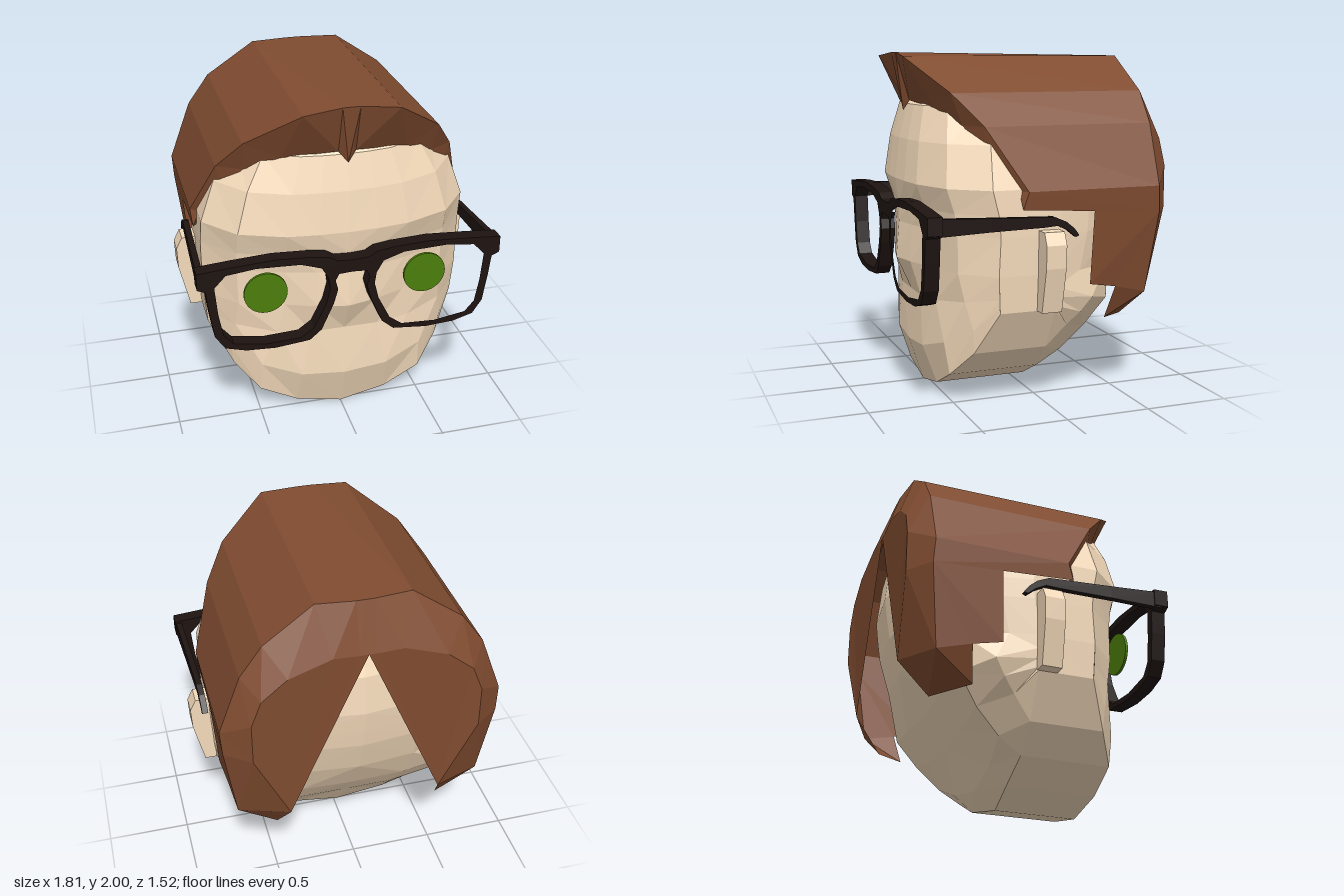
import * as THREE from 'three';

const material = (color, side = THREE.FrontSide) =>
  new THREE.MeshStandardMaterial({ color, side, flatShading: true });

const skin = material(0xf6dcbc);
const hairBrown = material(0x804c30, THREE.DoubleSide);
const frameBlack = material(0x1e1411);
const eyeGreen = material(0x4c7e0c);

// Faces of the +x half are given; the -x half is mirrored with reversed corners.
function mirroredMesh(name, faces, mat) {
  const positions = [];
  for (const face of faces) {
    for (let i = 1; i < face.length - 1; i++) {
      const tri = [face[0], face[i], face[i + 1]];
      tri.forEach((p) => positions.push(...p));
      tri.reverse().forEach(([x, y, z]) => positions.push(-x, y, z));
    }
  }
  const geometry = new THREE.BufferGeometry();
  geometry.setAttribute('position', new THREE.Float32BufferAttribute(positions, 3));
  geometry.computeVertexNormals();
  const mesh = new THREE.Mesh(geometry, mat);
  mesh.name = name;
  return mesh;
}

// Quads between consecutive rows of points.
function gridFaces(rows) {
  const faces = [];
  for (let r = 0; r < rows.length - 1; r++) {
    for (let c = 0; c < rows[r].length - 1; c++) {
      faces.push([rows[r][c], rows[r][c + 1], rows[r + 1][c + 1], rows[r + 1][c]]);
    }
  }
  return faces;
}

const toShape = (points) => new THREE.Shape(points.map(([x, y]) => new THREE.Vector2(x, y)));

// Head: rings lofted from nose to crown, with an arched jaw, chin and nape below.
function makeHead() {
  // height, half width, front z, back z, nose offset at the middle
  const rings = [
    [0.78, 0.785, 0.61, -0.59, 0.08], [1.0, 0.79, 0.62, -0.66, 0.05], [1.12, 0.79, 0.64, -0.68, 0.03],
    [1.26, 0.785, 0.69, -0.7, 0], [1.5, 0.7, 0.66, -0.68, 0], [1.7, 0.57, 0.61, -0.6, 0],
    [1.85, 0.35, 0.42, -0.45, 0], [1.92, 0, 0.2, -0.2, 0],
  ];
  // width fraction, position from back (0) to front (1)
  const section = [[0, 1], [0.22, 0.995], [0.45, 0.98], [0.78, 0.91], [1, 0.76],
    [1, 0.48], [0.95, 0.34], [0.8, 0.15], [0.45, 0.03], [0, 0]];
  const noseShare = [1, 0.6];
  const upper = rings.map(([y, w, front, back, nose]) => section.map(([fx, t], i) =>
    [w * fx, y, back + (front - back) * t + nose * (noseShare[i] ?? 0)]));

  // Arches from the middle outward: chin edge, mouth, nose base
  const chin = [[0, 0, 0.53], [0.28, 0.06, 0.53], [0.5, 0.17, 0.52], [0.64, 0.32, 0.42], [0.77, 0.57, 0.31]];
  const mouth = [[0, 0.27, 0.62], [0.26, 0.29, 0.61], [0.49, 0.36, 0.55], [0.66, 0.46, 0.43], [0.772, 0.6, 0.312]];
  const noseBase = [[0, 0.58, 0.6], [0.2, 0.58, 0.6], [0.4, 0.59, 0.57], [0.63, 0.62, 0.47], [0.776, 0.65, 0.315]];

  // Arches from the side inward: throat, then up the nape
  const throat = [[0.77, 0.57, -0.02], [0.64, 0.32, -0.02], [0.5, 0.17, -0.02], [0.28, 0.06, -0.02], [0, 0, 0.02]];
  const nape = [
    throat,
    [[0.771, 0.59, -0.02], [0.68, 0.45, -0.13], [0.52, 0.26, -0.16], [0.3, 0.16, -0.13], [0, 0.1, -0.11]],
    [[0.775, 0.64, -0.02], [0.72, 0.53, -0.2], [0.55, 0.4, -0.3], [0.3, 0.35, -0.3], [0, 0.34, -0.29]],
    [[0.78, 0.7, -0.02], [0.75, 0.62, -0.26], [0.6, 0.57, -0.42], [0.33, 0.54, -0.44], [0, 0.52, -0.43]],
    upper[0].slice(5),
  ];
  const faces = [
    ...gridFaces(upper),
    ...gridFaces([chin, mouth, noseBase, upper[0].slice(0, 5)]),
    ...gridFaces(nape),
    ...gridFaces([[...throat].reverse(), chin]),
    [chin[4], throat[0], upper[0][5], upper[0][4]],
  ];
  return mirroredMesh('head', faces, skin);
}

// Hair: hairline, front brim, roof and rear slope, then two lobes down the back.
function makeHair() {
  const hairline = [[0, 1.66, 0.635], [0.05, 1.72, 0.61], [0.36, 1.69, 0.55], [0.55, 1.6, 0.45],
    [0.66, 1.47, 0.36], [0.77, 1.25, 0.2], [0.78, 1.16, 0.17]];
  const brim = [[0, 2, 0.69], [0.05, 2, 0.69], [0.27, 1.98, 0.71], [0.56, 1.78, 0.52],
    [0.69, 1.6, 0.37], [0.82, 1.25, 0.16], [0.81, 1.15, 0.19]];
  const crease = [[0, 1.98, -0.645], [0.05, 1.98, -0.645], [0.27, 1.98, -0.62], [0.56, 1.78, -0.64],
    [0.69, 1.6, -0.64], [0.82, 1.25, -0.64], [0.81, 1.1, -0.65]];
  const rear = [[0, 1.69, -0.735], [0.05, 1.69, -0.735], [0.2, 1.7, -0.74], [0.45, 1.62, -0.75],
    [0.6, 1.5, -0.755], [0.66, 1.35, -0.76], [0.66, 1.1, -0.76]];
  const faces = gridFaces([hairline, brim, crease, rear]);

  // Back lobe, leaving a V-shaped notch at the nape
  const notch = [0.45, 0.65, -0.73];
  const tip = [0.5, 0.44, -0.56];
  const corner = [0.74, 0.62, -0.6];
  const sideTop = [0.81, 1.125, -0.24];
  const sideLow = [0.78, 0.7, -0.23];
  const sideMid = [0.76, 0.67, -0.4];
  const lowFront = [0.68, 0.47, -0.37];
  const creaseEnd = crease[6];
  const rearEnd = rear[6];
  for (let i = 0; i < rear.length - 1; i++) faces.push([rear[i], rear[i + 1], notch]);
  faces.push(
    [rearEnd, creaseEnd, corner], [rearEnd, corner, notch], [notch, corner, tip],
    [creaseEnd, sideTop, sideLow, sideMid, corner],
    [corner, sideMid, lowFront], [corner, lowFront, tip],
  );
  return mirroredMesh('hair', faces, hairBrown);
}

// Ear: thin vertical slab
function makeEar(s) {
  const outline = [[0.77, 0.57], [0.84, 0.57], [0.9, 0.83], [0.905, 0.96], [0.87, 1.03], [0.77, 1.03]];
  const geometry = new THREE.ExtrudeGeometry(toShape(outline.map(([x, y]) => [s * x, y])),
    { depth: 0.12, bevelEnabled: false });
  geometry.translate(0, 0, -0.03);
  const ear = new THREE.Mesh(geometry, skin);
  ear.name = s > 0 ? 'leftEar' : 'rightEar';
  return ear;
}

// Eye: flat disc
function makeEye(s) {
  const geometry = new THREE.CylinderGeometry(0.127, 0.127, 0.016, 32).rotateX(Math.PI / 2);
  const eye = new THREE.Mesh(geometry, eyeGreen);
  eye.position.set(s * 0.475, 0.9, 0.624);
  eye.name = s > 0 ? 'leftEye' : 'rightEye';
  return eye;
}

// Rims and bridge cut from one plate
function makeRims() {
  const half = [[0, 1.12], [0.09, 1.125], [0.14, 1.155], [0.25, 1.17], [0.45, 1.18], [0.7, 1.165],
    [0.88, 1.15], [0.88, 1.05], [0.835, 1.03], [0.82, 0.9], [0.795, 0.74], [0.74, 0.655],
    [0.62, 0.62], [0.45, 0.61], [0.25, 0.63], [0.18, 0.69], [0.11, 0.85], [0.085, 0.94],
    [0.1, 1.0], [0.08, 1.04], [0, 1.045]];
  const hole = [[0.14, 1.02], [0.18, 1.09], [0.3, 1.13], [0.55, 1.14], [0.72, 1.12], [0.785, 1.05],
    [0.77, 0.88], [0.745, 0.74], [0.69, 0.675], [0.5, 0.645], [0.3, 0.655], [0.225, 0.71],
    [0.155, 0.85], [0.13, 0.95]];
  const other = half.slice(1, -1).reverse().map(([x, y]) => [-x, y]);
  const shape = toShape([...half, ...other]);
  for (const s of [1, -1]) shape.holes.push(toShape(hole.map(([x, y]) => [s * x, y])));
  const geometry = new THREE.ExtrudeGeometry(shape, { depth: 0.085, bevelEnabled: false });
  geometry.translate(0, 0, 0.672);
  const rims = new THREE.Mesh(geometry, frameBlack);
  rims.name = 'rims';
  return rims;
}

// Temple: side outline drawn along z, leaning inward toward the ear
function makeTemple(s) {
  const outline = [[0.72, 1.04], [0.72, 1.14], [0.4, 1.125], [0.02, 1.11], [-0.05, 1.08], [-0.1, 1.04],
    [-0.13, 1.0], [-0.11, 0.99], [-0.06, 1.03], [0, 1.06], [0.08, 1.055], [0.4, 1.05]];
  const geometry = new THREE.ExtrudeGeometry(toShape(outline), { depth: 0.036, bevelEnabled: false });
  geometry.translate(0, 0, -0.018).rotateY(-Math.PI / 2);
  const p = geometry.attributes.position;
  for (let i = 0; i < p.count; i++) p.setX(i, p.getX(i) + s * (0.832 + 0.035 * p.getZ(i)));
  geometry.computeVertexNormals();
  const temple = new THREE.Mesh(geometry, frameBlack);
  temple.name = s > 0 ? 'leftTemple' : 'rightTemple';
  return temple;
}

export function createModel() {
  const model = new THREE.Group();
  model.name = 'headWithGlasses';
  const glasses = new THREE.Group();
  glasses.name = 'glasses';
  glasses.add(makeRims());
  model.add(makeHead(), makeHair(), glasses);
  for (const s of [1, -1]) {
    model.add(makeEar(s), makeEye(s));
    glasses.add(makeTemple(s));
  }
  return model;
}
